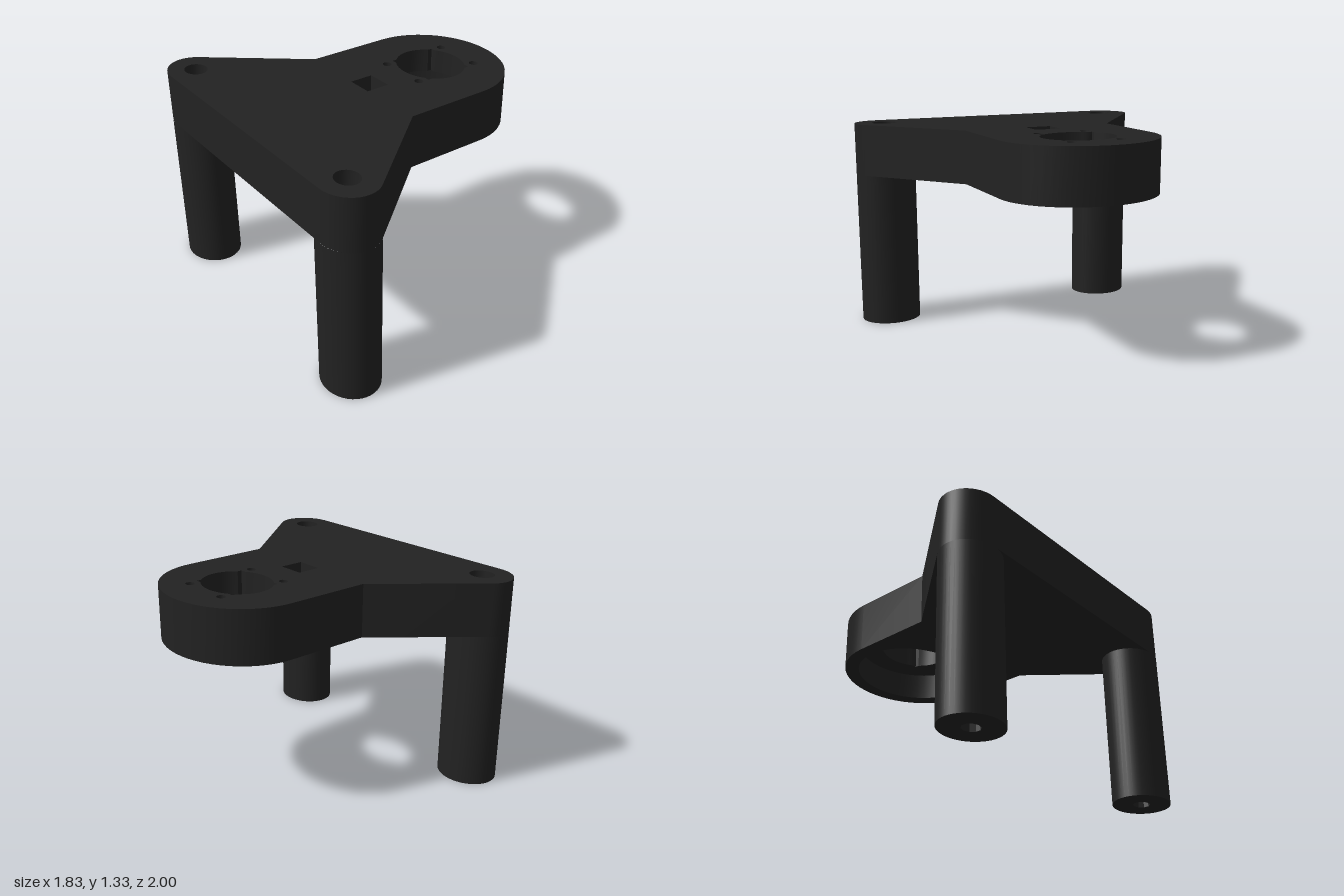
import * as THREE from 'three';
import { mergeGeometries, toCreasedNormals } from 'three/addons/utils/BufferGeometryUtils.js';

const V = (x, y) => new THREE.Vector2(x, y);
const BASE = 1.0, TOP = 1.33, LEDGE = 1.18;      // plate underside, plate top, recess ceiling
const RING = 0.47;                               // x of the large ring centre
const LEG = { x: -0.745, z: 0.805 };

// Points on an elliptical arc (counter-clockwise)
function arc(cx, cy, rx, ry, a0, a1, n) {
  return Array.from({ length: n + 1 }, (_, i) => {
    const a = a0 + (a1 - a0) * i / n;
    return V(cx + rx * Math.cos(a), cy + ry * Math.sin(a));
  });
}
// Closed ellipse, slightly narrower along x
const ellipse = (cx, cy, r, n) => arc(cx, cy, r * 0.875, r, 0, Math.PI * 2, n).slice(0, -1);

// Flat face at height y with holes
function cap(outline, holes, y, up = true) {
  const shape = new THREE.Shape(outline);
  holes.forEach(h => shape.holes.push(new THREE.Path(h)));
  const g = new THREE.ShapeGeometry(shape);
  g.rotateX(-Math.PI / 2).translate(0, y, 0);
  if (!up) {
    g.index.array.reverse();
    g.computeVertexNormals();
  }
  g.deleteAttribute('uv');
  return g.toNonIndexed();
}

// Vertical wall along a counter-clockwise loop; inward for holes
function wall(loop, y0, y1, inward = false) {
  const pos = [];
  loop.forEach((p, i) => {
    const q = loop[(i + 1) % loop.length];
    const [a, b] = inward ? [q, p] : [p, q];
    pos.push(a.x, y0, -a.y, b.x, y0, -b.y, b.x, y1, -b.y);
    pos.push(a.x, y0, -a.y, b.x, y1, -b.y, a.x, y1, -a.y);
  });
  const g = new THREE.BufferGeometry();
  g.setAttribute('position', new THREE.Float32BufferAttribute(pos, 3));
  g.computeVertexNormals();
  return toCreasedNormals(g, 0.6);
}

// Plate outline: rounded end, two waists, two rounded corners
function plateOutline() {
  const half = [
    ...arc(RING, 0, 0.44, 0.49, 0, Math.PI / 2, 14),
    V(-0.07, 0.49),
    ...arc(LEG.x, LEG.z, 0.17, 0.195, 0.949, Math.PI, 14),
  ];
  const mirrored = half.slice(1).reverse().map(p => V(p.x, -p.y));
  return [...half, ...mirrored];
}

// Round opening with four square corner notches
function notchedHole() {
  const rx = 0.203, ry = 0.23, nx = 0.16, ny = 0.175;
  const quarter = [
    ...arc(0, 0, rx, ry, 0, Math.acos(nx / rx), 6),
    V(nx, ny),
    ...arc(0, 0, rx, ry, Math.asin(ny / ry), Math.PI / 2, 6),
  ];
  const half = [...quarter, ...quarter.slice(0, -1).reverse().map(p => V(-p.x, p.y))];
  const full = [...half, ...half.slice(1, -1).reverse().map(p => V(p.x, -p.y))];
  return full.map(p => V(p.x + RING, p.y));
}

export function createModel() {
  const model = new THREE.Group();
  const material = new THREE.MeshStandardMaterial({ color: 0x222222 });
  const add = (name, parts) => {
    const mesh = new THREE.Mesh(mergeGeometries(parts), material);
    mesh.name = name;
    model.add(mesh);
  };

  const outline = plateOutline();
  const opening = notchedHole();
  const recess = ellipse(RING, 0, 0.4, 48);
  const square = [V(-0.08, -0.083), V(0.07, -0.083), V(0.07, 0.083), V(-0.08, 0.083)];
  const sides = [1, -1];
  const bores = sides.map(s => ellipse(LEG.x, s * LEG.z, 0.058, 10));
  const seats = sides.map(s => ellipse(LEG.x, s * LEG.z, 0.08, 20));
  const screws = [];
  for (const x of [0.25, 0.693]) for (const s of sides) screws.push(ellipse(x, s * 0.155, 0.03, 12));

  // Plate with its rim, top and underside
  add('plate', [
    wall(outline, BASE, TOP),
    cap(outline, [opening, square, ...seats, ...screws], TOP),
    cap(outline, [recess, square, ...bores], BASE, false),
  ]);

  // Large opening and the wider recess below it
  add('ringOpening', [
    wall(opening, LEDGE, TOP, true),
    wall(recess, BASE, LEDGE, true),
    cap(recess, [opening], LEDGE, false),
  ]);

  add('squareSlot', [wall(square, BASE, TOP, true)]);

  // Blind screw holes around the opening
  add('screwHoles', screws.flatMap(h => [wall(h, 1.23, TOP, true), cap(h, [], 1.23)]));

  // Legs, each with a through bore and a wider seat at the top
  sides.forEach((s, i) => {
    const leg = ellipse(LEG.x, s * LEG.z, 0.195, 40);
    add(s > 0 ? 'backLeg' : 'frontLeg', [
      wall(leg, 0, BASE),
      cap(leg, [bores[i]], 0, false),
      wall(bores[i], 0, 1.23, true),
      wall(seats[i], 1.23, TOP, true),
      cap(seats[i], [bores[i]], 1.23),
    ]);
  });

  return model;
}
